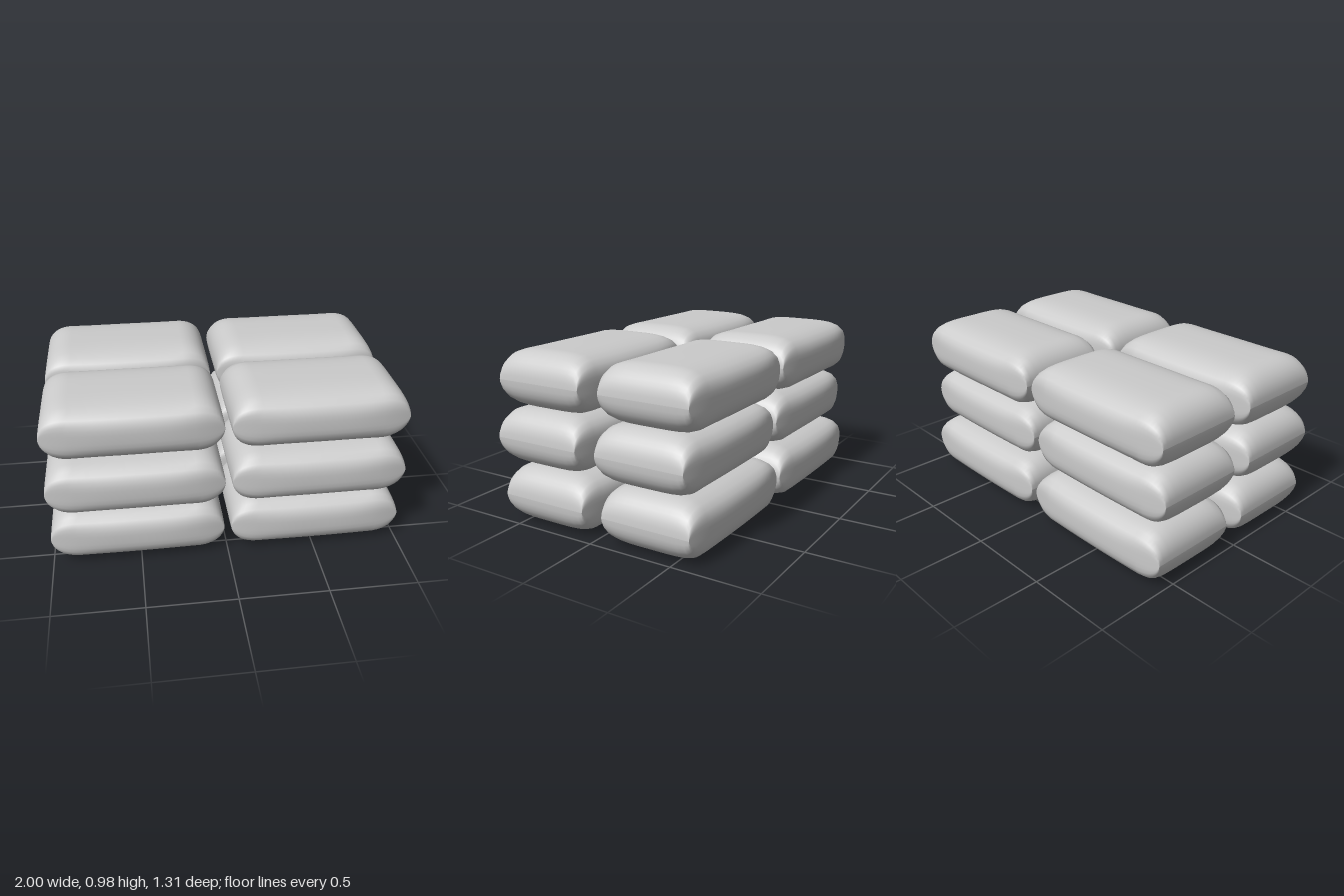
import * as THREE from 'three';

const HALF_LENGTH = 0.49, HALF_HEIGHT = 0.163, HALF_DEPTH = 0.308;
const FLAT = 0.33; // half length of the level middle before the ends round off
const SIDES = 40;

// Ring positions along one sack: even in the middle, crowded towards the ends
function ringPositions() {
  const half = [];
  for (let i = 1; i <= 5; i++) half.push((FLAT * i) / 5);
  for (let i = 1; i <= 10; i++) half.push(FLAT + (HALF_LENGTH - FLAT) * Math.sin((Math.PI / 2) * i / 10));
  return [...half.map(x => -x).reverse(), 0, ...half];
}

// Plump sack: superellipse sections that flatten to a seam at both ends
function sackGeometry() {
  const xs = ringPositions(), position = [], index = [];
  for (const x of xs) {
    const t = Math.abs(x) / HALF_LENGTH;
    const e = Math.min(1, Math.max(0, (Math.abs(x) - FLAT) / (HALF_LENGTH - FLAT)));
    const h = HALF_HEIGHT * Math.pow(1 - Math.pow(e, 2.2), 1 / 2.2) * (1 - 0.02 * t * t);
    const d = HALF_DEPTH - 0.043 * t ** 3;
    const n = 3.3 + 2.5 * t ** 4;
    for (let j = 0; j < SIDES; j++) {
      const a = (j / SIDES) * Math.PI * 2, c = Math.cos(a), s = Math.sin(a);
      const r = Math.pow(Math.abs(c) ** n + Math.abs(s) ** n, -1 / n);
      position.push(x, h * s * r, d * c * r);
    }
  }
  for (let i = 0; i < xs.length - 1; i++) {
    for (let j = 0; j < SIDES; j++) {
      const k = (j + 1) % SIDES;
      const a = i * SIDES + j, b = a + SIDES, c = (i + 1) * SIDES + k, d = i * SIDES + k;
      index.push(a, b, c, a, c, d);
    }
  }
  const geometry = new THREE.BufferGeometry();
  geometry.setAttribute('position', new THREE.Float32BufferAttribute(position, 3));
  geometry.setIndex(index);
  geometry.computeVertexNormals();
  return geometry;
}

export function createModel() {
  const group = new THREE.Group();
  group.name = 'sackStack';
  const geometry = sackGeometry();
  const material = new THREE.MeshStandardMaterial({ color: 0xcccccc });

  // Three layers of two by two; the middle layer is shifted towards the front
  for (let layer = 0; layer < 3; layer++) {
    const shift = layer === 1 ? 0.017 : -0.016;
    for (const sx of [-1, 1]) {
      for (const sz of [-1, 1]) {
        const sack = new THREE.Mesh(geometry, material);
        sack.name = `sackLayer${layer + 1}${sz > 0 ? 'Front' : 'Back'}${sx > 0 ? 'Left' : 'Right'}`;
        sack.position.set(sx * 0.51, 0.164 + layer * 0.328, sz * 0.329 + shift);
        group.add(sack);
      }
    }
  }
  return group;
}
